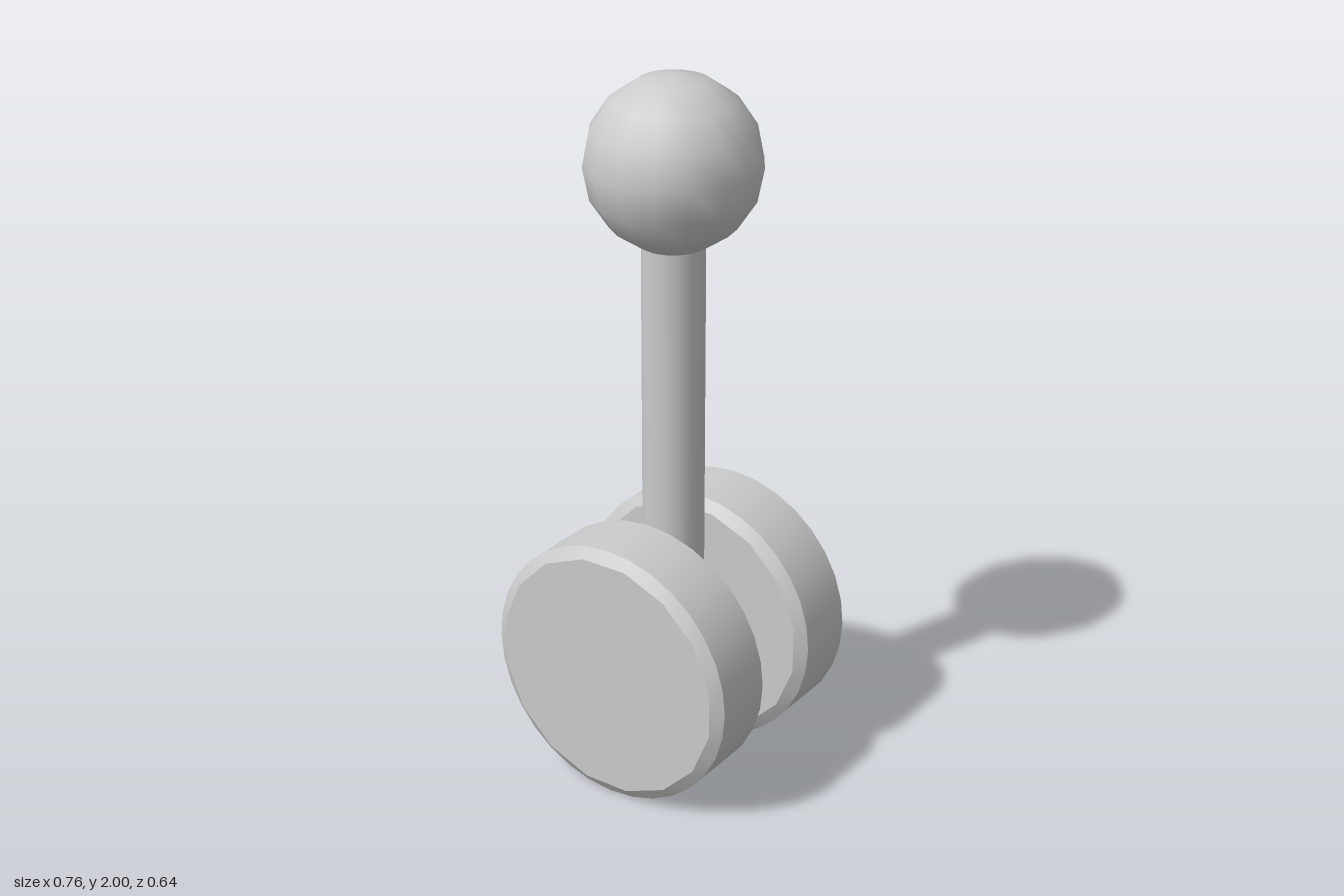
import * as THREE from 'three';
import { toCreasedNormals } from 'three/addons/utils/BufferGeometryUtils.js';

const material = new THREE.MeshStandardMaterial({ color: 0xcccccc });

function addPart(group, name, geometry, x, y, z) {
  const mesh = new THREE.Mesh(geometry, material);
  mesh.name = name;
  mesh.position.set(x, y, z);
  group.add(mesh);
}

// Bevelled disc lying along z: a 32-sided rim narrowing to 16-sided faces
function wheelGeometry() {
  const radius = 0.379, faceRadius = 0.35, half = 0.114, rimHalf = 0.092, sides = 32;
  const profile = [
    [0, -half], [faceRadius, -half], [radius, -rimHalf],
    [radius, rimHalf], [faceRadius, half], [0, half],
  ].map(([r, y]) => new THREE.Vector2(r, y));
  const lathe = new THREE.LatheGeometry(profile, sides);

  // Pull every other face corner onto the chord between its neighbours
  const p = lathe.attributes.position;
  const chord = Math.cos(Math.PI * 2 / sides);
  for (let i = 0; i < p.count; i++) {
    const x = p.getX(i), z = p.getZ(i), r = Math.hypot(x, z);
    const step = Math.round(Math.atan2(x, z) / (Math.PI * 2 / sides));
    if (r < faceRadius + 0.01 && step % 2 === 0) {
      p.setX(i, x * chord);
      p.setZ(i, z * chord);
    }
  }
  lathe.rotateX(Math.PI / 2);
  return toCreasedNormals(lathe, 0.5);
}

export function createModel() {
  const group = new THREE.Group();
  group.name = 'ballToppedCaster';

  // Twin wheels
  const wheel = wheelGeometry();
  addPart(group, 'frontWheel', wheel, 0, 0.38, 0.208);
  addPart(group, 'rearWheel', wheel, 0, 0.38, -0.208);

  // Upright stem between the wheels
  const stemBottom = 0.48, stemTop = 1.55;
  addPart(group, 'stem',
    new THREE.CylinderGeometry(0.087, 0.087, stemTop - stemBottom, 16),
    0.003, (stemTop + stemBottom) / 2, 0);

  // Ball on top, cut flat where it meets the stem
  addPart(group, 'ball',
    new THREE.SphereGeometry(0.239, 16, 7, 0, Math.PI * 2, 0, Math.PI * 7 / 8),
    0.003, 1.761, 0);
  const seat = new THREE.CircleGeometry(0.0915, 16).rotateX(Math.PI / 2);
  addPart(group, 'ballUnderside', seat, 0.003, 1.5402, 0);

  return group;
}
